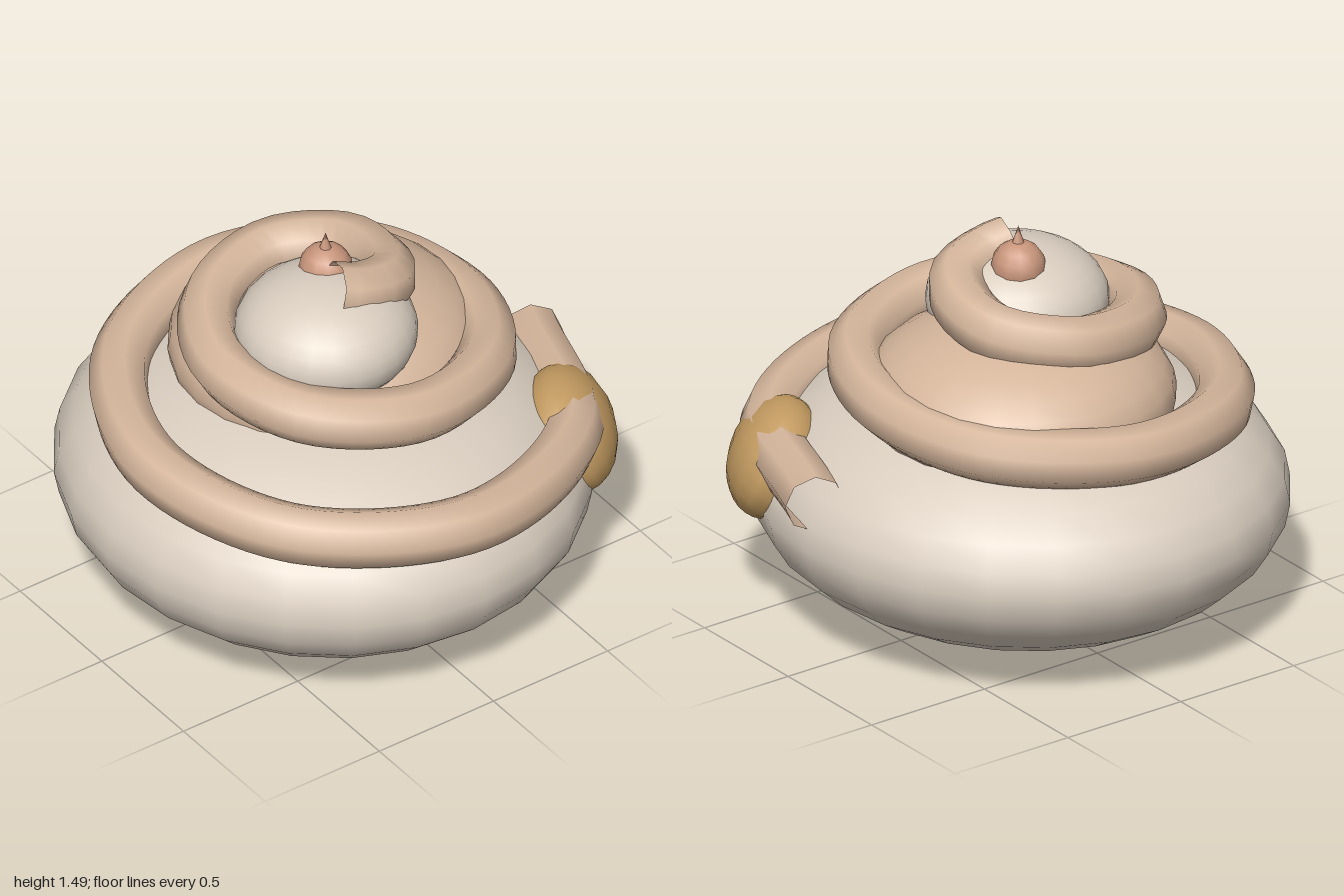
import * as THREE from 'three';

const material = (name, color) => {
  const m = new THREE.MeshStandardMaterial({ color });
  m.name = name;
  return m;
};

export function createModel() {
  const cream = material('cream', 0xd9cdbf);
  const tan = material('tan', 0xd4b59b);
  tan.side = THREE.DoubleSide; // the coil has open ends
  const rose = material('rose', 0xc9967c);
  const gold = material('gold', 0xc29a60);

  const model = new THREE.Group();
  model.name = 'coiledMound';

  const add = (name, geometry, mat, position) => {
    const mesh = new THREE.Mesh(geometry, mat);
    mesh.name = name;
    mesh.position.set(...position);
    model.add(mesh);
    return mesh;
  };
  const ellipsoid = (name, mat, position, radii, segments, rings) => {
    const geometry = new THREE.SphereGeometry(1, segments, rings).scale(...radii);
    return add(name, geometry, mat, position);
  };

  // Three stacked, slightly off-centre lobes
  ellipsoid('baseLobe', cream, [-0.03, 0.475, 0], [0.95, 0.47, 1], 24, 16);
  ellipsoid('middleLobe', tan, [0.06, 0.91, -0.11], [0.57, 0.29, 0.56], 24, 16);
  ellipsoid('upperLobe', cream, [-0.09, 1.16, 0.1], [0.33, 0.215, 0.33], 24, 16);

  // Knob with a pointed tip
  ellipsoid('knob', rose, [-0.02, 1.335, 0], [0.1, 0.1, 0.1], 12, 8);
  add('tip', new THREE.ConeGeometry(0.03, 0.09, 8), rose, [-0.02, 1.45, 0]);

  // Rising spiral coil: one radius per quarter turn, starting at the left side
  const radii = [0.88, 0.865, 0.78, 0.72, 0.575, 0.55, 0.475, 0.38, 0.225, 0.168, 0.168];
  const points = [];
  const addPoint = (q) => {
    const i = Math.floor(q);
    const r = THREE.MathUtils.lerp(radii[i], radii[i + 1], q - i);
    const a = (q * Math.PI) / 2;
    points.push(new THREE.Vector3(r * Math.cos(a), 0.65 + 0.075 * q, r * Math.sin(a)));
  };
  for (let q = 0; q <= 9; q += 0.5) addPoint(q);
  addPoint(9.35);
  const path = new THREE.CatmullRomCurve3(points);
  add('coil', new THREE.TubeGeometry(path, 140, 0.109, 8, false), tan, [0, 0, 0]);

  // Flattened patch leaning against the base lobe, under the start of the coil
  const patch = ellipsoid('sidePatch', gold, [0.7, 0.6, 0.49], [0.16, 0.22, 0.27], 16, 12);
  patch.rotation.set(0, -0.61, 0.43);

  return model;
}
